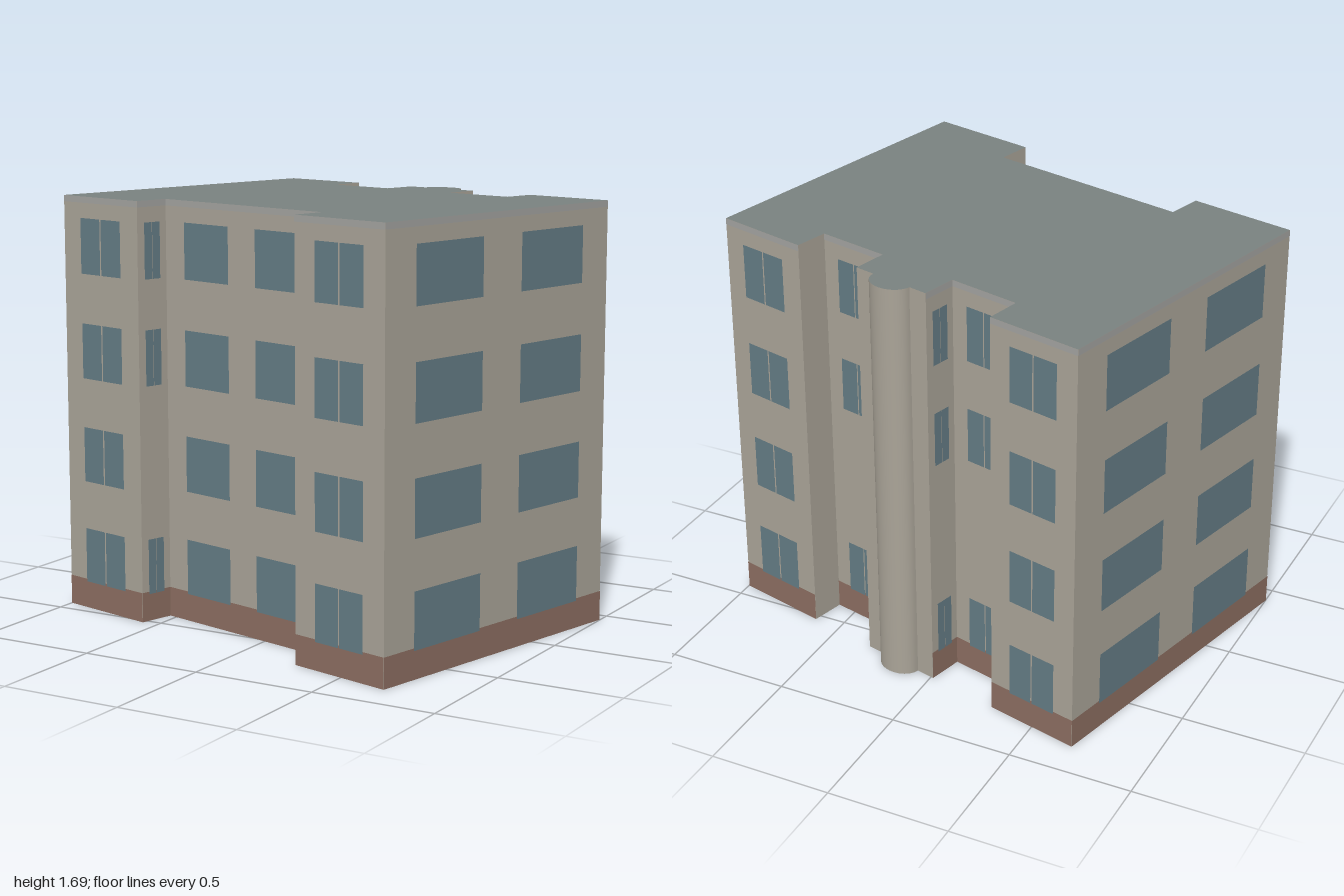
import * as THREE from 'three';

const HEIGHT = 1.69;
const BASE_TOP = 0.12;
const FLOORS = [0.11, 0.53, 0.955, 1.38]; // window sill heights
const WINDOW_HEIGHT = 0.224;

const paint = (color) => new THREE.MeshStandardMaterial({ color, side: THREE.DoubleSide });
const front = (color) => new THREE.MeshStandardMaterial({ color });
const wallPaint = paint(0xaaa498);
const roofPaint = paint(0x7a8280);
const basePaint = front(0x8c6e61);
const glassPaint = front(0x647c85);
const trimPaint = front(0xa3a3a0);

// Footprint corners [x, z], walked along the front first
const CORNERS = [
  [-1, 0.42], [-0.57, 0.525], [-0.533, 0.382], [0.305, 0.592], [0.272, 0.733], [0.71, 0.843],
  [0.997, -0.433], [0.617, -0.528], [0.583, -0.392], [0.29, -0.462], [0.322, -0.603],
  [0.24, -0.624], [0.067, -0.667], [-0.01, -0.686], [-0.045, -0.543], [-0.337, -0.615],
  [-0.305, -0.757], [-0.69, -0.85],
];
const BAY = 11; // the rounded bay starts at this corner

// Outline of the half-round bay between two corners
function bayPoints([ax, az], [bx, bz], steps = 20) {
  const dx = (bx - ax) / 2, dz = (bz - az) / 2, bulge = 0.82;
  return Array.from({ length: steps + 1 }, (_, i) => {
    const t = Math.PI * (1 - i / steps), c = Math.cos(t), s = Math.sin(t) * bulge;
    return [ax + dx + dx * c - dz * s, az + dz + dz * c + dx * s];
  });
}

// A flat wall with optional base, top trim and windows
function buildWall(a, b) {
  const dx = b[0] - a[0], dz = b[1] - a[1], length = Math.hypot(dx, dz);
  const wall = new THREE.Group();
  wall.name = 'wallSection';
  wall.position.set(a[0], 0, a[1]);
  wall.rotation.y = Math.atan2(-dz, dx);

  const panel = (name, material, from, to, bottom, top, lift) => {
    const mesh = new THREE.Mesh(
      new THREE.PlaneGeometry((to - from) * length, top - bottom), material);
    mesh.name = name;
    mesh.position.set((from + to) / 2 * length, (bottom + top) / 2, lift);
    wall.add(mesh);
  };

  panel('wall', wallPaint, 0, 1, 0, HEIGHT, 0);
  if (length < 0.147) return wall; // short returns stay plain
  panel('baseBand', basePaint, 0, 1, 0, BASE_TOP, 0.001);
  panel('topTrim', trimPaint, 0, 1, HEIGHT - 0.025, HEIGHT, 0.001);

  // Long walls have two wide windows, the others a close pair
  const spans = length > 0.6 ? [[0.126, 0.415], [0.588, 0.877]] : [[0.23, 0.492], [0.508, 0.77]];
  FLOORS.forEach((sill, floor) => {
    if (length < 0.35 && floor === 1) return;
    for (const [from, to] of spans) {
      panel('window', glassPaint, from, to, sill, sill + WINDOW_HEIGHT, 0.002);
    }
  });
  return wall;
}

// Smooth curved wall swept from the bay outline
function buildBay(points) {
  const positions = [], index = [];
  points.forEach(([x, z], i) => {
    positions.push(x, 0, z, x, HEIGHT, z);
    if (i) {
      const k = 2 * i;
      index.push(k - 2, k, k + 1, k - 2, k + 1, k - 1);
    }
  });
  const geometry = new THREE.BufferGeometry();
  geometry.setAttribute('position', new THREE.Float32BufferAttribute(positions, 3));
  geometry.setIndex(index);
  geometry.computeVertexNormals();
  const bay = new THREE.Mesh(geometry, wallPaint);
  bay.name = 'roundedBay';
  return bay;
}

export function createModel() {
  const building = new THREE.Group();
  building.name = 'apartmentBuilding';
  const outline = [];

  // Walls around the footprint
  CORNERS.forEach((a, i) => {
    const b = CORNERS[(i + 1) % CORNERS.length];
    if (i === BAY) {
      const points = bayPoints(a, b);
      outline.push(...points.slice(0, -1));
      building.add(buildBay(points));
    } else {
      outline.push(a);
      building.add(buildWall(a, b));
    }
  });

  // Flat roof over the whole outline
  const shape = new THREE.Shape(outline.map(([x, z]) => new THREE.Vector2(x, -z)));
  const roof = new THREE.Mesh(new THREE.ShapeGeometry(shape).rotateX(-Math.PI / 2), roofPaint);
  roof.name = 'roof';
  roof.position.y = HEIGHT;
  building.add(roof);

  return building;
}
